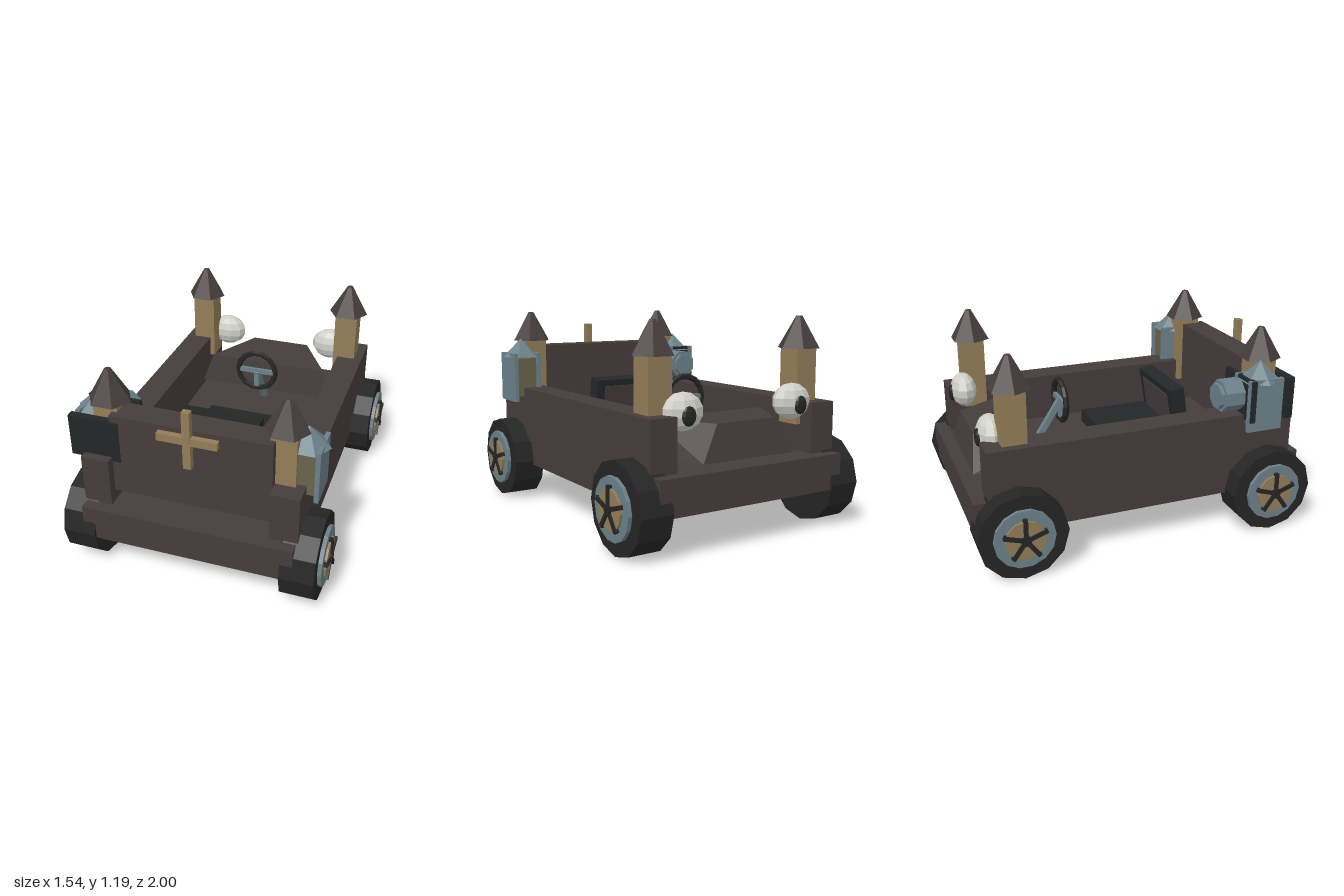
import * as THREE from 'three';
import { ConvexGeometry } from 'three/addons/geometries/ConvexGeometry.js';

const mat = (name, color) => {
  const m = new THREE.MeshStandardMaterial({ color, flatShading: true });
  m.name = name;
  return m;
};

export function createModel() {
  const brown = mat('dark brown', 0x463c3c);
  const tan = mat('tan', 0x927d57);
  const steel = mat('blue grey', 0x6b8089);
  const rubber = mat('rubber black', 0x252525);
  const charcoal = mat('charcoal', 0x232727);
  const white = mat('off white', 0xcfcfc8);
  const olive = mat('olive glass', 0x69634b);

  const car = new THREE.Group();
  car.name = 'castleCar';

  const add = (parent, name, geo, material, x = 0, y = 0, z = 0) => {
    const mesh = new THREE.Mesh(geo, material);
    mesh.name = name;
    mesh.position.set(x, y, z);
    parent.add(mesh);
    return mesh;
  };
  // Box given by its lower and upper limits on each axis
  const box = (parent, name, material, x0, x1, y0, y1, z0, z1) =>
    add(parent, name, new THREE.BoxGeometry(x1 - x0, y1 - y0, z1 - z0), material,
      (x0 + x1) / 2, (y0 + y1) / 2, (z0 + z1) / 2);
  const group = (name, x = 0, y = 0, z = 0) => {
    const g = new THREE.Group();
    g.name = name;
    g.position.set(x, y, z);
    car.add(g);
    return g;
  };

  // Body: slab, side walls and tall end panel
  box(car, 'chassis', brown, -0.6, 0.6, 0.225, 0.425, -0.985, 0.98);
  for (const s of [-1, 1]) {
    const wall = box(car, 'sideWall', brown, 0.45, 0.61, 0.375, 0.71, -0.905, 0.91);
    wall.position.x *= s;
  }
  box(car, 'tailPanel', brown, -0.45, 0.45, 0.49, 0.97, 0.7, 0.855);

  // Hood: tapered block
  const hood = [];
  for (const s of [-1, 1]) {
    hood.push(
      new THREE.Vector3(s * 0.3, 0.455, -0.92), new THREE.Vector3(s * 0.45, 0.455, -0.53),
      new THREE.Vector3(s * 0.19, 0.65, -0.885), new THREE.Vector3(s * 0.38, 0.65, -0.55));
  }
  add(car, 'hood', new ConvexGeometry(hood), brown);

  // Cross on the end panel
  box(car, 'crossUpright', tan, -0.022, 0.022, 0.755, 1.095, 0.857, 0.895);
  box(car, 'crossBar', tan, -0.167, 0.167, 0.9, 0.945, 0.859, 0.893);

  // Seat: cushion and tilted backrest with an inset panel
  box(car, 'seatCushion', charcoal, -0.235, 0.235, 0.452, 0.53, -0.1, 0.42);
  const back = group('seatBack', 0, 0.62, 0.37);
  back.rotation.x = -0.16;
  box(back, 'backrest', charcoal, -0.235, 0.235, -0.15, 0.15, -0.045, 0.045);
  box(back, 'backrestPanel', brown, -0.18, 0.18, -0.1, 0.11, -0.052, -0.044);

  // Steering wheel and column
  const steering = group('steering', 0, 0.71, -0.315);
  add(steering, 'steeringRim', new THREE.TorusGeometry(0.123, 0.018, 6, 14), rubber);
  box(steering, 'steeringSpokeBar', steel, -0.115, 0.115, -0.015, 0.015, -0.01, 0.01);
  box(steering, 'steeringSpokeDown', steel, -0.015, 0.015, -0.115, 0, -0.01, 0.01);
  const column = add(steering, 'steeringColumn',
    new THREE.BoxGeometry(0.035, 0.035, 0.35), steel, 0, -0.145, -0.095);
  column.lookAt(column.position.clone().multiplyScalar(2).add(steering.position));
  column.rotation.set(-Math.atan2(0.29, 0.19), 0, 0);

  // Corner towers with six-sided roofs
  for (const x of [-0.49, 0.49]) {
    for (const z of [-0.74, 0.74]) {
      const tower = group('tower', x, 0, z);
      box(tower, 'towerBody', tan, -0.07, 0.07, 0.58, 1.01, -0.07, 0.07);
      const roof = add(tower, 'towerRoof',
        new THREE.CylinderGeometry(0.018, 0.122, 0.18, 6), brown, 0, 1.095, 0);
      roof.rotation.y = Math.PI / 6;
    }
  }

  // Eyes on the hood corners
  for (const x of [-0.365, 0.365]) {
    const eye = add(car, 'eye', new THREE.SphereGeometry(1, 10, 7), white, x, 0.72, -0.825);
    eye.scale.set(0.122, 0.102, 0.078);
    const pupil = add(car, 'pupil', new THREE.SphereGeometry(1, 8, 6), rubber,
      x * 1.02, 0.705, -0.895);
    pupil.scale.set(0.045, 0.052, 0.02);
  }

  // Lanterns hung on the tail corners
  for (const s of [-1, 1]) {
    const lantern = group('lantern', s * 0.588, 0, 0.69);
    box(lantern, 'lanternGlass', olive, -0.07, 0.065, 0.655, 0.897, -0.09, 0.09);
    for (const side of [-1, 1]) {
      box(lantern, 'lanternPlate', steel, side * 0.0775 - 0.0125, side * 0.0775 + 0.0125,
        0.625, 0.93, -0.108, 0.108);
    }
    const roof = add(lantern, 'lanternRoof',
      new THREE.ConeGeometry(0.122, 0.115, 6), steel, 0, 0.9625, 0);
    roof.rotation.y = Math.PI / 6;
  }

  // Lamp and dark end plates on the right-hand lantern
  const lampParts = [
    ['lampBarrel', 0.095, 0.13, 0.535],
    ['lampLens', 0.075, 0.03, 0.462],
  ];
  for (const [name, r, depth, z] of lampParts) {
    const part = add(car, name, new THREE.CylinderGeometry(r, r, depth, 8), steel, -0.53, 0.815, z);
    part.rotation.set(Math.PI / 2, Math.PI / 8, 0);
  }
  box(car, 'darkPlateInner', charcoal, -0.69, -0.38, 0.685, 0.93, 0.59, 0.62);
  box(car, 'darkPlateOuter', charcoal, -0.69, -0.4, 0.685, 0.93, 0.815, 0.86);

  // Wheels: axis along x, five spokes over tan and steel discs
  const disc = (parent, name, r, x0, x1, sides, material) => {
    const geo = new THREE.CylinderGeometry(r, r, x1 - x0, sides);
    geo.rotateZ(-Math.PI / 2);
    return add(parent, name, geo, material, (x0 + x1) / 2, 0, 0);
  };
  for (const side of [-1, 1]) {
    for (const z of [-0.75, 0.75]) {
      const wheel = group('wheel', 0, 0.25, z);
      wheel.rotation.y = side > 0 ? 0 : Math.PI;
      disc(wheel, 'tyre', 0.25, 0.53, 0.72, 12, rubber);
      disc(wheel, 'rim', 0.17, 0.71, 0.742, 14, steel);
      disc(wheel, 'hubDisc', 0.113, 0.735, 0.755, 12, tan);
      disc(wheel, 'hubCap', 0.03, 0.745, 0.768, 8, rubber);
      for (let i = 0; i < 5; i++) {
        const geo = new THREE.BoxGeometry(0.025, 0.115, 0.024);
        geo.translate(0.752, 0.068, 0);
        add(wheel, 'spoke', geo, rubber).rotation.x = (i * Math.PI * 2) / 5;
      }
    }
  }
  return car;
}
